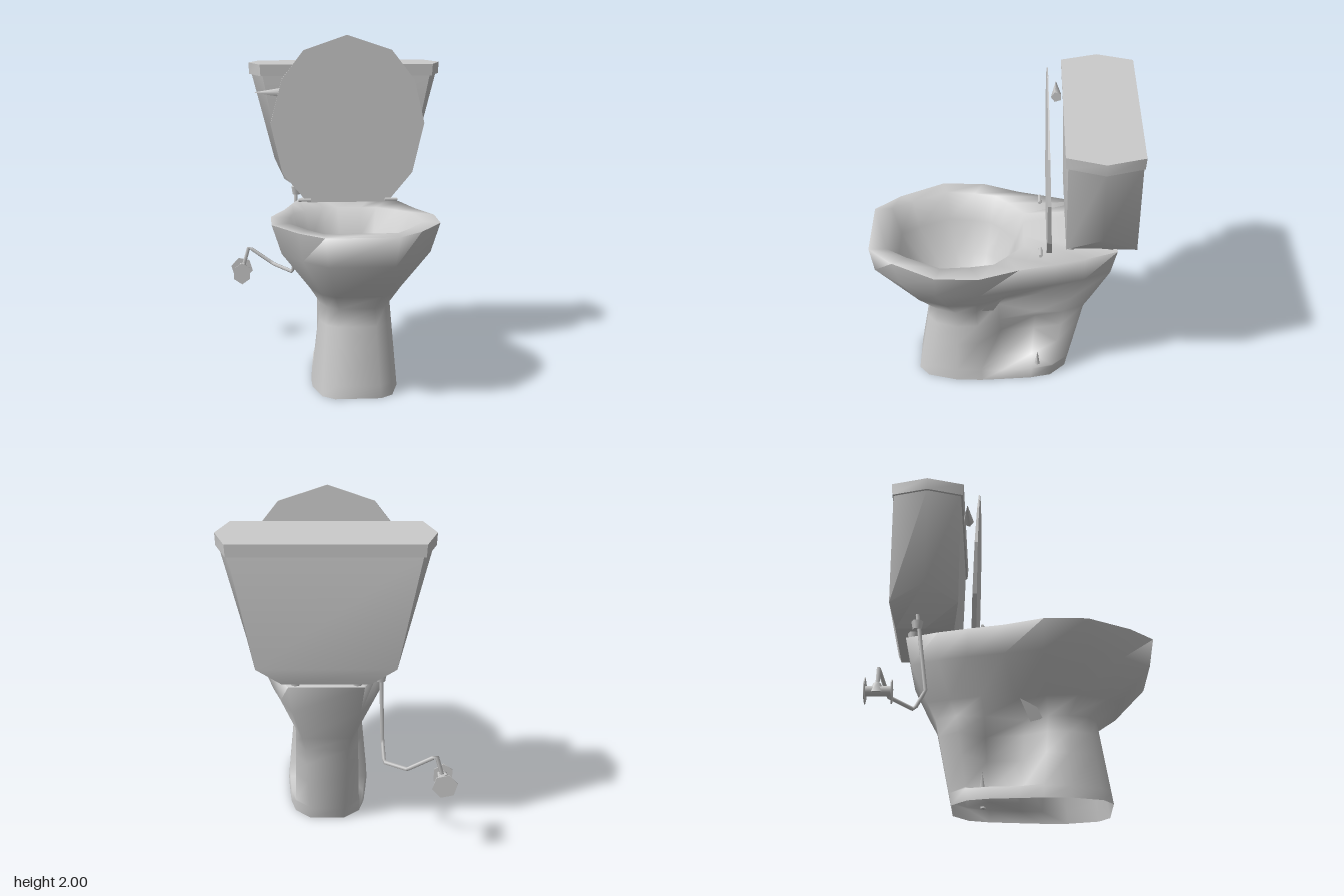
import * as THREE from 'three';
import { toCreasedNormals } from 'three/addons/utils/BufferGeometryUtils.js';

const CX = 0.065; // the bowl and tank share this centre line

const material = new THREE.MeshStandardMaterial({ color: 0xcccccc, side: THREE.DoubleSide });

// Half outline [x, z, (own y)] from front to back, mirrored to a closed ring
function ring(y, half) {
  const right = half.map(([x, z, own]) => [CX + x, own ?? y, z]);
  const left = half.map(([x, z, own]) => [CX - x, own ?? y, z]).reverse();
  return [...right, ...left];
}

// Skin a stack of rings, closing the top and, unless open, the bottom
function loft(rings, crease, openBottom = false) {
  const pos = [];
  const tri = (...p) => p.forEach((v) => pos.push(...v));
  const n = rings[0].length;
  for (let r = 0; r < rings.length - 1; r++) {
    const a = rings[r], b = rings[r + 1];
    for (let i = 0; i < n; i++) {
      const j = (i + 1) % n;
      tri(a[i], a[j], b[j]);
      tri(a[i], b[j], b[i]);
    }
  }
  const cap = (loop, up) => {
    const c = [0, 1, 2].map((k) => loop.reduce((s, p) => s + p[k], 0) / n);
    for (let i = 0; i < n; i++) {
      const p = loop[i], q = loop[(i + 1) % n];
      if (up) tri(c, p, q); else tri(c, q, p);
    }
  };
  if (!openBottom) cap(rings[0], false);
  cap(rings[rings.length - 1], true);
  const g = new THREE.BufferGeometry();
  g.setAttribute('position', new THREE.Float32BufferAttribute(pos, 3));
  return toCreasedNormals(g, crease);
}

export function createModel() {
  const model = new THREE.Group();
  const add = (name, geometry, x = 0, y = 0, z = 0, rx = 0, ry = 0, rz = 0) => {
    const m = new THREE.Mesh(geometry, material);
    m.name = name;
    m.position.set(x, y, z);
    m.rotation.set(rx, ry, rz);
    model.add(m);
    return m;
  };

  // Pedestal: foot outline blended into the waist, with its sides pressed in behind the front
  const foot = [[0.13, 0.54], [0.2, 0.48], [0.245, 0.3], [0.245, 0.15],
    [0.235, 0.02], [0.22, -0.15], [0.19, -0.27], [0.1, -0.36]];
  const waist = [[0.1, 0.46], [0.165, 0.41], [0.2, 0.3], [0.19, 0.18],
    [0.2, 0.05], [0.19, -0.18], [0.18, -0.34], [0.12, -0.46]];
  const pedestal = (y, pressFront, pressBack) => {
    const t = y / 0.5;
    return ring(y, foot.map(([x, z], i) => [
      THREE.MathUtils.lerp(x, waist[i][0], t) - (i === 4 ? pressFront : i === 5 ? pressBack : 0),
      THREE.MathUtils.lerp(z, waist[i][1], t),
    ]));
  };

  // Flared bowl up to the rim, then the inside
  const flare = [
    ring(0.6, [[0.13, 0.59], [0.2, 0.52], [0.26, 0.35], [0.25, 0.17],
      [0.17, 0], [0.165, -0.2, 0.63], [0.18, -0.38], [0.14, -0.51]]),
    ring(0.81, [[0.18, 0.77], [0.31, 0.61], [0.42, 0.4], [0.42, 0.15],
      [0.36, -0.07], [0.31, -0.28], [0.26, -0.45], [0.19, -0.605]]),
    ring(0.975, [[0.2, 0.795], [0.335, 0.65], [0.475, 0.4], [0.475, 0.15],
      [0.39, -0.07], [0.335, -0.28], [0.285, -0.45], [0.21, -0.64]]),
  ];
  const opening = [[0.2, 0.69], [0.28, 0.57], [0.38, 0.37], [0.365, 0.2],
    [0.34, 0.07], [0.27, 0], [0.16, -0.1], [0.07, -0.1]];
  const inside = (y, s, zc) => ring(y, opening.map(([x, z]) => [x * s, zc + (z - 0.3) * s]));
  add('bowl', loft([
    pedestal(0, 0, 0),
    pedestal(0.07, 0, 0),
    pedestal(0.08, 0.12, 0.125),
    pedestal(0.27, 0.13, 0.14),
    pedestal(0.4, 0.07, 0.1),
    pedestal(0.5, 0.085, 0.01),
    ...flare,
    inside(0.978, 1, 0.3),
    inside(0.81, 0.87, 0.3),
    inside(0.64, 0.62, 0.27),
    inside(0.52, 0.38, 0.23),
  ], 1.75, true));

  // Slanted cover plates and floor bolts, one of each per side
  for (const s of [-1, 1]) {
    const plate = new THREE.Shape([[0.15, 0.49], [0.08, 0.48], [0.02, 0.61], [0.1, 0.59]]
      .map(([z, y]) => new THREE.Vector2(z, y)));
    const g = new THREE.ShapeGeometry(plate);
    const p = g.attributes.position;
    for (let i = 0; i < p.count; i++) { // follows the flare of the side
      const z = p.getX(i), y = p.getY(i);
      p.setXYZ(i, CX + s * (0.13 + (y - 0.48) * 0.4 + z * 0.25), y, z);
    }
    g.computeVertexNormals();
    add('coverPlate', g);
    add('floorBolt', new THREE.ConeGeometry(0.018, 0.11, 5), CX + s * 0.17, 0.12, -0.19);
  }

  // Tank: six-sided, narrowing down to a chamfered underside
  add('tank', loft([
    ring(1.02, [[0.24, -0.36], [0.24, -0.53], [0.24, -0.7]]),
    ring(1.12, [[0.38, -0.335], [0.435, -0.53, 1.22], [0.38, -0.73]]),
    ring(1.76, [[0.51, -0.325], [0.575, -0.52], [0.51, -0.72]]),
  ], 0.75));
  const cover = (inset) => [[0.525 - inset, -0.31 - inset], [0.592 - inset, -0.52], [0.525 - inset, -0.73 + inset]];
  add('tankCover', loft([ring(1.75, cover(0.004)), ring(1.82, cover(0))], 0.75));

  // Seal and bolts between tank and bowl
  add('tankSeal', new THREE.CylinderGeometry(0.1, 0.1, 0.08, 8), CX, 0.99, -0.5);
  for (const s of [-1, 1]) {
    add('tankBolt', new THREE.CylinderGeometry(0.02, 0.03, 0.07, 6), CX + s * 0.17, 1.005, -0.37);
    add('tankBolt', new THREE.CylinderGeometry(0.035, 0.025, 0.06, 6), CX + s * 0.17, 1.0, -0.6);
  }

  // Raised lid
  const lidShape = new THREE.Shape([
    [-0.18, 0.99], [0.31, 0.99], [0.46, 1.17], [0.53, 1.47], [0.47, 1.73], [0.33, 1.91],
    [0.06, 2], [-0.2, 1.91], [-0.33, 1.74], [-0.4, 1.47], [-0.33, 1.17],
  ].map(([x, y]) => new THREE.Vector2(x, y)));
  const lid = new THREE.ExtrudeGeometry(lidShape, { depth: 0.03, bevelEnabled: false });
  const lp = lid.attributes.position;
  for (let i = 0; i < lp.count; i++) { // leans forward and thins towards the top
    const t = (lp.getY(i) - 0.99) / 1.01;
    lp.setZ(i, lp.getZ(i) * (1 - 0.8 * t) - 0.26 + 0.035 * t);
  }
  lid.computeVertexNormals();
  add('lid', lid);
  for (const s of [-1, 1]) {
    add('hinge', new THREE.CylinderGeometry(0.01, 0.01, 0.075, 6), CX + s * 0.262, 1.01, -0.195, 0, 0, Math.PI / 2);
  }

  // Flush lever
  add('flushLever', new THREE.ConeGeometry(0.033, 0.19, 5), -0.405, 1.655, -0.285, 0, 0, Math.PI / 2);

  // Water supply: straight pipe runs ending at the wall valve
  const path = new THREE.CurvePath();
  const stops = [[-0.235, 1.08, -0.57], [-0.25, 0.6, -0.51], [-0.26, 0.48, -0.57],
    [-0.38, 0.505, -0.7], [-0.54, 0.61, -0.745], [-0.58, 0.47, -0.745]]
    .map((p) => new THREE.Vector3(...p));
  for (let i = 1; i < stops.length; i++) path.add(new THREE.LineCurve3(stops[i - 1], stops[i]));
  add('supplyPipe', new THREE.TubeGeometry(path, 40, 0.012, 5));
  add('pipeNut', new THREE.CylinderGeometry(0.035, 0.025, 0.05, 6), -0.235, 1.01, -0.57);
  add('valveBody', new THREE.CylinderGeometry(0.03, 0.03, 0.14, 6), -0.58, 0.455, -0.74, Math.PI / 2);
  add('valveCollar', new THREE.CylinderGeometry(0.02, 0.045, 0.06, 6), -0.58, 0.47, -0.745);
  add('wallPlate', new THREE.CylinderGeometry(0.072, 0.072, 0.006, 6), -0.585, 0.455, -0.807, Math.PI / 2, 0.3);
  const knob = add('valveKnob', new THREE.CylinderGeometry(0.07, 0.07, 0.006, 6), -0.585, 0.45, -0.665, Math.PI / 2);
  knob.scale.set(0.85, 1, 1);

  return model;
}
